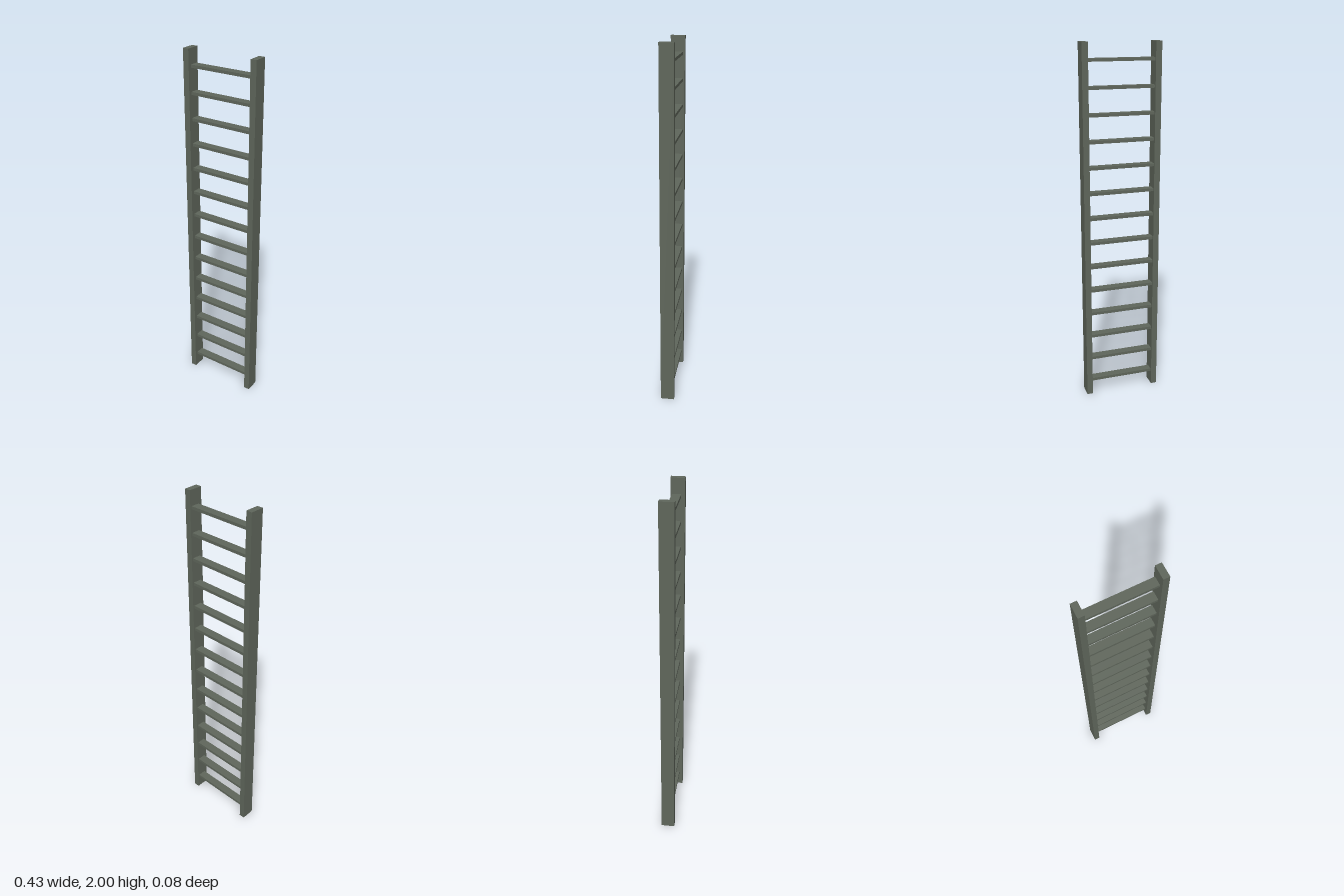
import * as THREE from 'three';

export function createModel() {
  const ladder = new THREE.Group();
  ladder.name = 'ladder';
  const paint = new THREE.MeshStandardMaterial({ color: 0x5f665b });
  paint.name = 'greyGreenPaint';

  function addBox(name, size, position) {
    const mesh = new THREE.Mesh(new THREE.BoxGeometry(...size), paint);
    mesh.name = name;
    mesh.position.set(...position);
    ladder.add(mesh);
  }

  // Two upright side rails
  const railWidth = 0.033, railX = 0.1985;
  addBox('leftRail', [railWidth, 2, 0.076], [railX, 1, 0]);
  addBox('rightRail', [railWidth, 2, 0.076], [-railX, 1, 0]);

  // Evenly spaced flat rungs, set slightly towards the back
  const rungCount = 14, firstY = 0.087, pitch = 0.1402;
  const rungLength = 2 * railX - railWidth;
  for (let i = 0; i < rungCount; i++) {
    addBox(`rung${i + 1}`, [rungLength, 0.016, 0.047], [0, firstY + i * pitch, -0.0055]);
  }
  return ladder;
}
